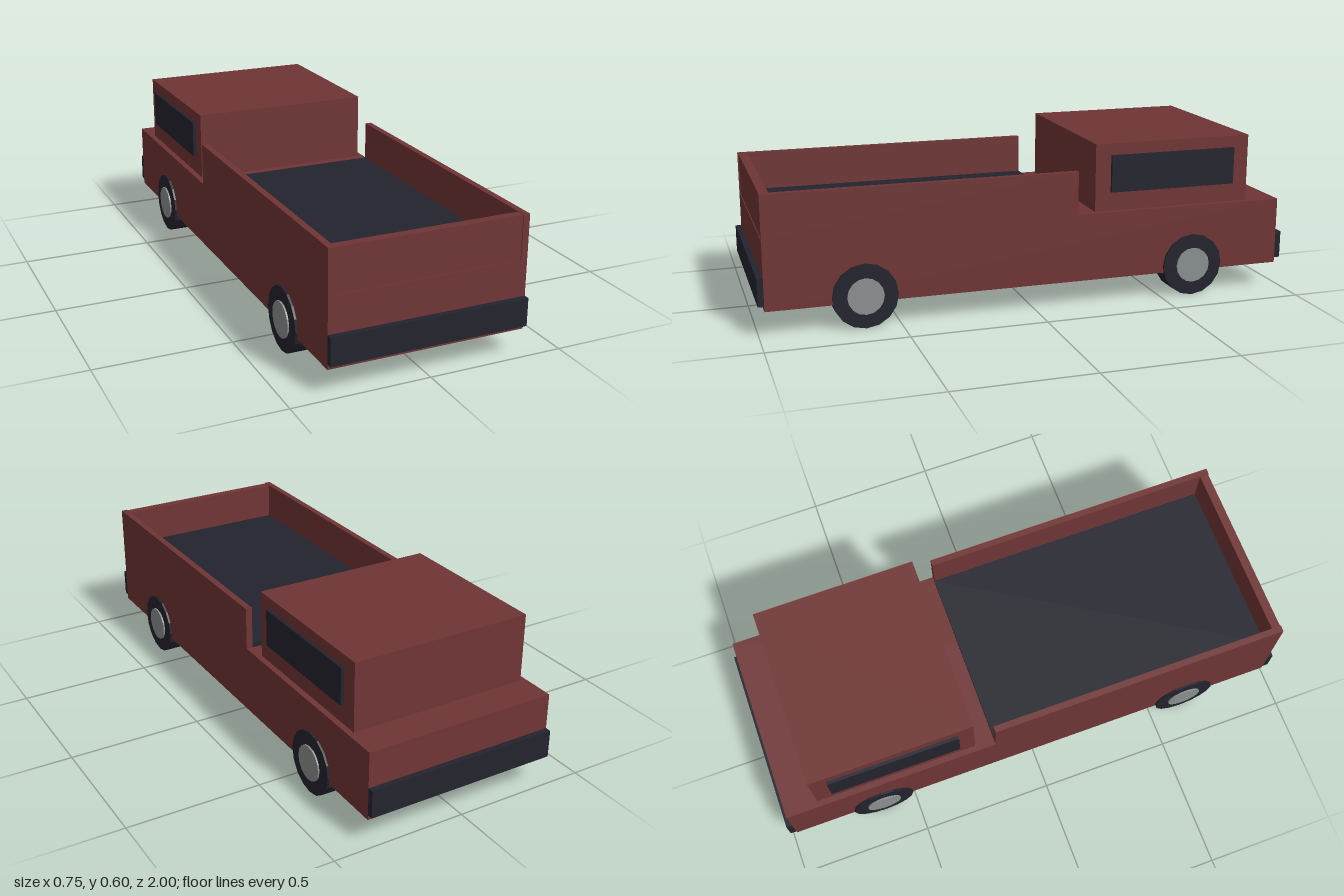
import * as THREE from 'three';

export function createModel() {
  const truck = new THREE.Group();
  truck.name = 'pickupTruck';

  const material = (name, color) => {
    const m = new THREE.MeshStandardMaterial({ color });
    m.name = name;
    return m;
  };
  const red = material('redPaint', 0x703535);
  const dark = material('darkTrim', 0x22232d);
  const grey = material('greyHub', 0x8b9090);

  // Box given by its minimum and maximum corners
  const box = (name, mat, [x0, y0, z0], [x1, y1, z1]) => {
    const mesh = new THREE.Mesh(new THREE.BoxGeometry(x1 - x0, y1 - y0, z1 - z0), mat);
    mesh.position.set((x0 + x1) / 2, (y0 + y1) / 2, (z0 + z1) / 2);
    mesh.name = name;
    truck.add(mesh);
  };

  // Lower body and cab
  box('body', red, [-0.362, 0.094, -0.978], [0.362, 0.347, 0.978]);
  box('cab', red, [-0.34, 0.347, -0.852], [0.34, 0.6, -0.237]);

  // Load bed
  box('bedFloor', dark, [-0.338, 0.347, -0.163], [0.338, 0.362, 0.942]);
  box('bedEndWall', red, [-0.338, 0.347, 0.942], [0.338, 0.505, 0.975]);

  // Bumpers at both ends
  box('frontBumper', dark, [-0.362, 0.113, 0.978], [0.362, 0.215, 1]);
  box('rearBumper', dark, [-0.362, 0.113, -1], [0.362, 0.215, -0.978]);

  // Cylinder lying along x, between two x positions
  const disc = (name, mat, radius, xa, xb, z) => {
    const geo = new THREE.CylinderGeometry(radius, radius, Math.abs(xb - xa), 16);
    geo.rotateZ(Math.PI / 2);
    const flat = mat.clone === undefined ? geo : geo.toNonIndexed();
    flat.computeVertexNormals();
    const mesh = new THREE.Mesh(flat, mat);
    mesh.position.set((xa + xb) / 2, 0.118, z);
    mesh.name = name;
    truck.add(mesh);
  };

  for (const s of [-1, 1]) {
    const side = s > 0 ? 'left' : 'right';
    const span = (a, b) => [Math.min(s * a, s * b), Math.max(s * a, s * b)];

    // Bed side wall
    const [w0, w1] = span(0.338, 0.362);
    box(side + 'BedWall', red, [w0, 0.347, -0.163], [w1, 0.507, 0.978]);

    // Side window
    const [g0, g1] = span(0.34, 0.352);
    box(side + 'Window', dark, [g0, 0.418, -0.79], [g1, 0.556, -0.297]);

    // Wheels
    for (const z of [-0.625, 0.628]) {
      const end = z > 0 ? 'Front' : 'Rear';
      disc(side + end + 'Tire', dark, 0.118, s * 0.283, s * 0.37, z);
      disc(side + end + 'Hub', grey, 0.066, s * 0.36, s * 0.376, z);
    }
  }
  return truck;
}
